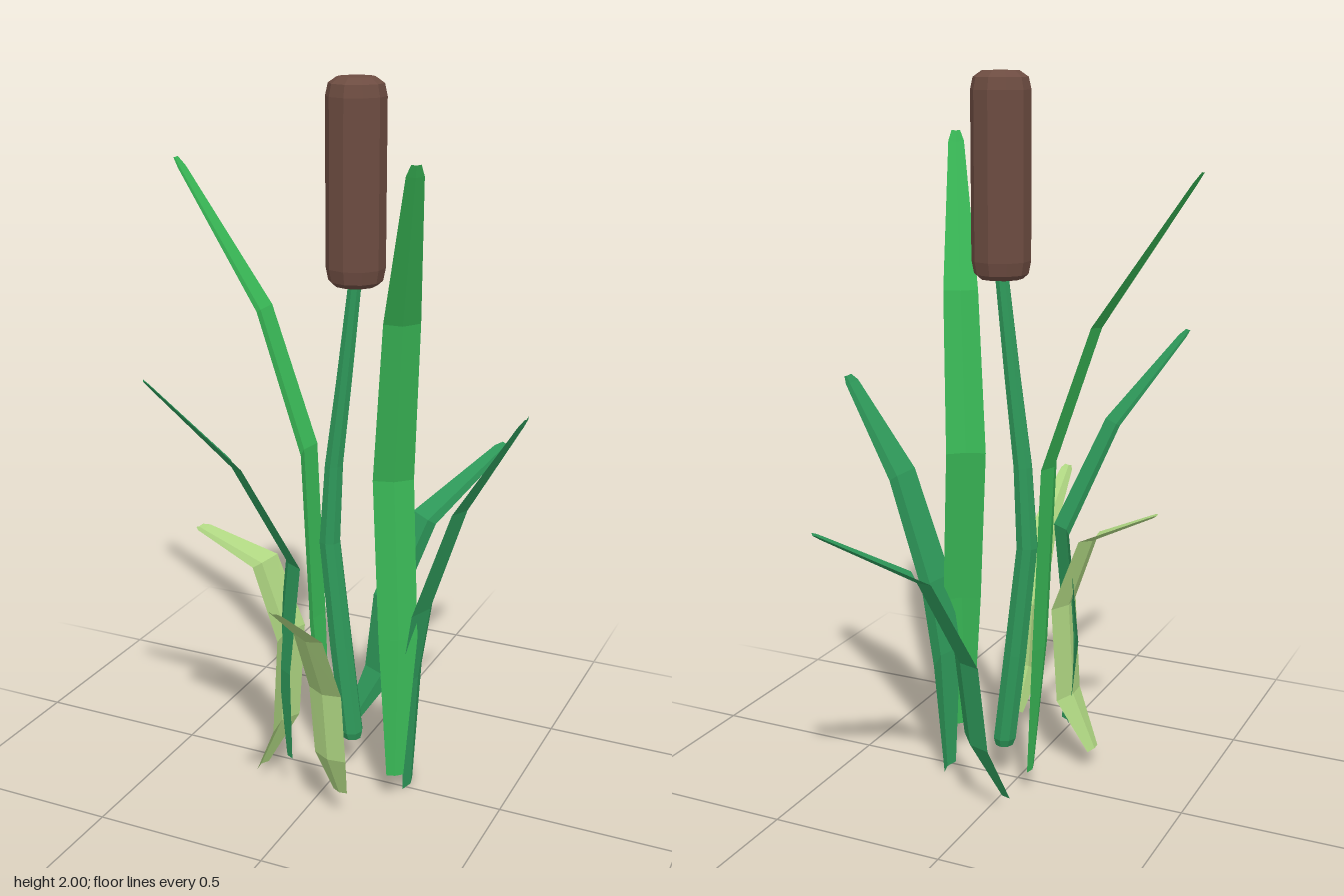
import * as THREE from 'three';

const mat = (name, color) => new THREE.MeshStandardMaterial({ name, color, flatShading: true, side: THREE.DoubleSide });

// Folded blade: 5 centre points from base to tip, half width, horizontal direction across
function blade(name, material, pts, half, across) {
  const widths = [0.43, 0.97, 1, 0.87, 0.4, 0.22];
  const a = new THREE.Vector3(across[0], 0, across[1]).normalize();
  const rows = pts.map((p) => new THREE.Vector3(...p));
  const base = rows[0], end = rows[rows.length - 1];
  // Blunt tip: pull the wide row back a little and close with a narrow one
  rows.splice(4, 0, end.clone().lerp(rows[3], 0.07));
  const out = new THREE.Vector3(-a.z, 0, a.x);
  if (out.dot(end.clone().sub(base)) < 0) out.negate();
  const pos = [], idx = [];
  rows.forEach((c, i) => {
    const w = half * widths[i];
    // Edges cup towards the middle of the clump, the midrib lies outside
    const before = rows[Math.max(i - 1, 0)], after = rows[Math.min(i + 1, rows.length - 1)];
    const along = after.clone().sub(before).normalize();
    const normal = new THREE.Vector3().crossVectors(a, along).normalize();
    if (normal.dot(out) < 0) normal.negate();
    for (const [s, d] of [[-1, -0.13], [0, 0.13], [1, -0.13]]) {
      const p = c.clone().addScaledVector(a, s * w).addScaledVector(normal, d * w);
      pos.push(p.x, Math.max(p.y, 0), p.z);
    }
  });
  for (let i = 0; i < rows.length - 1; i++) {
    for (let j = 0; j < 2; j++) {
      const k = i * 3 + j;
      idx.push(k, k + 1, k + 3, k + 1, k + 4, k + 3);
    }
  }
  const indexed = new THREE.BufferGeometry();
  indexed.setAttribute('position', new THREE.Float32BufferAttribute(pos, 3));
  indexed.setIndex(idx);
  const geo = indexed.toNonIndexed();
  geo.computeVertexNormals();
  const mesh = new THREE.Mesh(geo, material);
  mesh.name = name;
  return mesh;
}

export function createModel() {
  const group = new THREE.Group();
  group.name = 'reedPlant';
  const brown = mat('seedBrown', 0x6d4c41);
  const deep = mat('deepGreen', 0x2e995a);
  const bright = mat('brightGreen', 0x38b555);
  const pale = mat('paleGreen', 0xaed581);

  // Seed head
  const headProfile = [[0, 1.46], [0.058, 1.462], [0.073, 1.475], [0.08, 1.51], [0.08, 1.95], [0.073, 1.982], [0.05, 1.998], [0, 2]];
  const head = new THREE.Mesh(
    new THREE.LatheGeometry(headProfile.map((p) => new THREE.Vector2(...p)), 10), brown);
  head.position.set(0.038, 0, -0.023);
  head.name = 'seedHead';
  group.add(head);

  // Stalk: tapered lathe bent along x
  const stalkRows = [[0, 0.11, 0.033], [0.026, 0.112, 0.033], [0.034, 0.135, 0.031], [0.034, 0.4, -0.002],
    [0.031, 0.72, -0.038], [0.027, 0.95, -0.025], [0.023, 1.2, 0.006], [0.019, 1.48, 0.038]];
  const stalkGeo = new THREE.LatheGeometry(stalkRows.map(([r, y]) => new THREE.Vector2(r, y)), 8);
  const sp = stalkGeo.attributes.position;
  for (let i = 0; i < sp.count; i++) {
    const row = stalkRows[i % stalkRows.length];
    sp.setX(i, sp.getX(i) + row[2]);
  }
  stalkGeo.computeVertexNormals();
  const stalk = new THREE.Mesh(stalkGeo, deep);
  stalk.position.z = -0.022;
  stalk.name = 'stalk';
  group.add(stalk);

  // Blades around the stalk
  group.add(
    blade('rightTallBlade', bright,
      [[-0.07, 0.07, -0.06], [-0.1, 0.45, -0.055], [-0.125, 0.97, -0.055], [-0.26, 1.36, -0.06], [-0.53, 1.76, -0.072]], 0.06, [0.05, 1]),
    blade('leftBlade', deep,
      [[0.215, 0, -0.022], [0.225, 0.35, -0.024], [0.257, 0.57, -0.025], [0.36, 0.88, -0.024], [0.525, 1.155, -0.022]], 0.085, [0, 1]),
    blade('backBlade', deep,
      [[-0.05, 0.055, -0.205], [0.025, 0.21, -0.24], [0.05, 0.45, -0.247], [0.13, 0.7, -0.34], [0.287, 0.88, -0.595]], 0.072, [0.8, 0.6]),
    blade('frontRightBlade', deep,
      [[-0.08, 0.125, 0.17], [-0.1, 0.4, 0.17], [-0.07, 0.72, 0.163], [-0.175, 1.02, 0.28], [-0.335, 1.275, 0.445]], 0.057, [0.7, 0.7]),
    blade('leftTallBlade', bright,
      [[0.217, 0.09, 0.093], [0.21, 0.5, 0.065], [0.178, 0.95, 0.035], [0.225, 1.4, 0.105], [0.327, 1.83, 0.285]], 0.056, [0.86, -0.5]),
    blade('rightPaleBlade', pale,
      [[-0.175, 0.06, 0.153], [-0.1, 0.22, 0.155], [-0.085, 0.5, 0.15], [-0.155, 0.705, 0.16], [-0.34, 0.79, 0.185]], 0.067, [-0.15, 1]),
    blade('frontPaleBlade', pale,
      [[0.11, 0.09, 0.235], [0.1, 0.22, 0.285], [0.09, 0.42, 0.295], [0.097, 0.63, 0.41], [0.1, 0.785, 0.6]], 0.053, [0.97, 0.2]),
  );
  return group;
}
